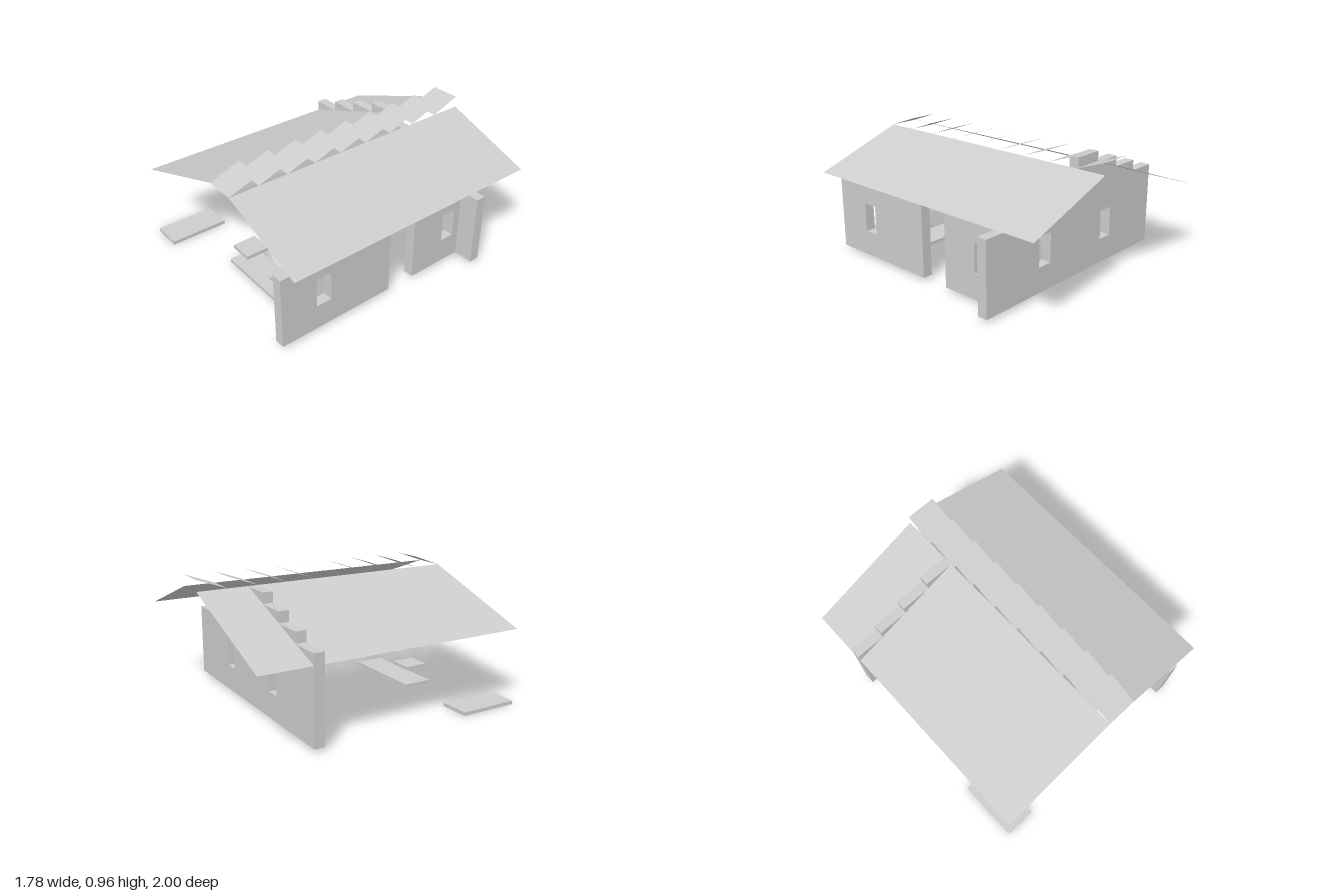
import * as THREE from 'three';

const grey = new THREE.MeshStandardMaterial({ color: 0xcccccc, side: THREE.DoubleSide });
grey.name = 'plain grey';

const HALF = 0.889;      // half width of the building
const BAY = HALF / 4;    // one step or slat module
const BASE = 0.026;      // floor level
const EAVE = 0.556;      // top of the side walls
const THICK = 0.074;     // wall thickness
const SILL = 0.21, HEAD = 0.425;

export function createModel() {
  const model = new THREE.Group();

  const add = (name, geometry, x = 0, y = 0, z = 0) => {
    const mesh = new THREE.Mesh(geometry, grey);
    mesh.name = name;
    mesh.position.set(x, y, z);
    model.add(mesh);
    return mesh;
  };

  // Box given by its limits
  const slab = (name, x0, x1, y0, y1, z0, z1) =>
    add(name, new THREE.BoxGeometry(x1 - x0, y1 - y0, z1 - z0),
      (x0 + x1) / 2, (y0 + y1) / 2, (z0 + z1) / 2);

  // Wall from an outline with window openings [from, to]
  const wall = (outline, windows) => {
    const shape = new THREE.Shape(outline.map(([a, b]) => new THREE.Vector2(a, b)));
    for (const [a, b] of windows) {
      shape.holes.push(new THREE.Path([
        new THREE.Vector2(a, SILL), new THREE.Vector2(a, HEAD),
        new THREE.Vector2(b, HEAD), new THREE.Vector2(b, SILL),
      ]));
    }
    return new THREE.ExtrudeGeometry(shape, { depth: THICK, bevelEnabled: false });
  };

  // Flat sheet spanning two edge points, a sloped quad
  const sheet = (name, a, b, c, d) => {
    const g = new THREE.BufferGeometry();
    g.setAttribute('position', new THREE.Float32BufferAttribute([...a, ...b, ...c, ...d], 3));
    g.setIndex([0, 1, 2, 0, 2, 3]);
    g.computeVertexNormals();
    return add(name, g);
  };

  // Back wall with a stepped gable
  const levels = [1, 2, 3, 4, 3, 2, 1, 0];
  const gable = [[-HALF, BASE]];
  gable.push([HALF, BASE]);
  for (let i = 7; i >= 0; i--) {
    const top = EAVE + levels[i] * 0.0795;
    gable.push([-HALF + (i + 1) * BAY, top], [-HALF + i * BAY, top]);
  }
  add('backWall', wall(gable, [[-0.395, -0.28], [0.277, 0.392]]), 0, 0, -0.63);

  // Two side walls with a doorway between them
  const sideWall = (name, z0, z1, w0, w1) => {
    // the outline is drawn along -z, then turned to run front to back
    const g = wall([[-z1, BASE], [-z0, BASE], [-z0, EAVE], [-z1, EAVE]], [[-w1, -w0]]);
    g.rotateY(Math.PI / 2);
    add(name, g, 0.667, 0, 0);
  };
  sideWall('frontSideWall', 0.111, 1, 0.613, 0.727);
  sideWall('rearSideWall', -0.556, -0.111, -0.498, -0.386);

  // Roof planes
  sheet('rightRoof', [-HALF, 0.557, 1], [0, 0.877, 1], [0, 0.877, -1], [-HALF, 0.557, -1]);
  sheet('leftRoof', [BAY, 0.877, 1], [HALF, 0.637, 1], [HALF, 0.637, -1], [BAY, 0.877, -1]);

  // Tilted slats along the ridge opening
  for (let i = 0; i < 9; i++) {
    const front = 1 - i * 2 / 9, back = front - 2 / 9;
    sheet('ridgeSlat', [0, 0.877, front], [BAY, 0.877, front], [BAY, 0.957, back], [0, 0.957, back]);
  }

  // Ground platforms
  slab('sidePlatform', -HALF, -3 * BAY, 0, BASE, 0.556, 1);
  slab('middlePlatform', -BAY, 2 * BAY, 0, BASE, 0.556, 0.778);

  // Seat slabs above the middle platform
  for (const x of [-0.2, 0.244]) slab('seat', x, x + 0.178, 0.13, 0.156, 0.578, 0.756);

  return model;
}
